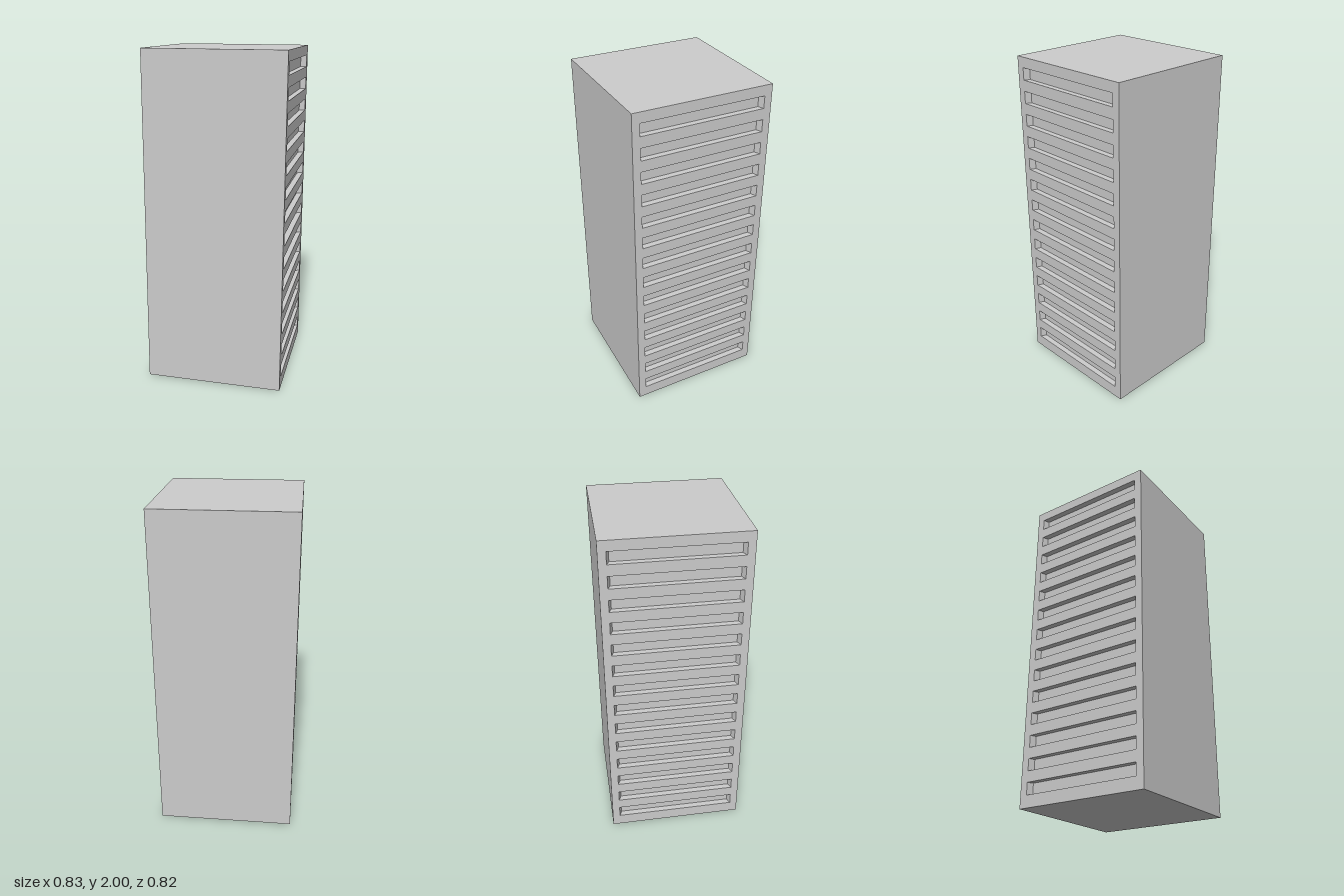
import * as THREE from 'three';

const W = 0.822, H = 1.996, D = 0.822;           // cabinet size
const SLOTS = 14, PITCH = 0.1377, SLOT_H = 0.072; // louvre slots on each side
const OUTER = 0.366, INNER = 0.351, DEPTH = 0.035;

// Flat-shaded geometry from quads, corners counter-clockwise
function quads(list) {
  const pos = list.flatMap(([a, b, c, d]) => [a, b, c, a, c, d].flat());
  const g = new THREE.BufferGeometry();
  g.setAttribute('position', new THREE.Float32BufferAttribute(pos, 3));
  g.computeVertexNormals();
  return g;
}

function rectangle(PathType, x, y0, y1) {
  return new PathType([[-x, y0], [x, y0], [x, y1], [-x, y1]].map(p => new THREE.Vector2(...p)));
}

// Recess with slanted ends, opening towards +z
function recessGeometry() {
  const h = SLOT_H / 2;
  const ring = (x, z) => [[-x, -h, z], [x, -h, z], [x, h, z], [-x, h, z]];
  const o = ring(OUTER, 0), i = ring(INNER, -DEPTH);
  return quads([i, ...o.map((_, k) => {
    const n = (k + 1) % 4;
    return [o[k], o[n], i[n], i[k]];
  })]);
}

export function createModel() {
  const model = new THREE.Group();
  model.name = 'cabinet';
  const material = new THREE.MeshStandardMaterial({ color: 0xcccccc, flatShading: true });

  // The whole cabinet leans very slightly to one side
  const body = new THREE.Group();
  body.name = 'body';
  body.position.y = 1;
  body.rotation.z = -0.005;
  model.add(body);

  const add = (parent, name, geometry) => {
    const mesh = new THREE.Mesh(geometry, material);
    mesh.name = name;
    parent.add(mesh);
    return mesh;
  };

  // Plain panels: front, back, top and bottom
  add(body, 'frontPanel', new THREE.PlaneGeometry(W, H)).position.z = D / 2;
  const back = add(body, 'backPanel', new THREE.PlaneGeometry(W, H));
  back.position.z = -D / 2;
  back.rotation.y = Math.PI;
  const top = add(body, 'topPanel', new THREE.PlaneGeometry(W, D));
  top.position.y = H / 2;
  top.rotation.x = -Math.PI / 2;
  const bottom = add(body, 'bottomPanel', new THREE.PlaneGeometry(W, D));
  bottom.position.y = -H / 2;
  bottom.rotation.x = Math.PI / 2;

  // Slotted side panels, built facing +z and turned to each side
  const centers = Array.from({ length: SLOTS }, (_, k) => 0.006 + (k - (SLOTS - 1) / 2) * PITCH);
  const outline = rectangle(THREE.Shape, D / 2, -H / 2, H / 2);
  outline.holes = centers.map(y => rectangle(THREE.Path, OUTER, y - SLOT_H / 2, y + SLOT_H / 2));
  const panel = new THREE.ShapeGeometry(outline);
  const recess = recessGeometry();

  for (const [name, side] of [['leftSide', 1], ['rightSide', -1]]) {
    const group = new THREE.Group();
    group.name = name;
    group.position.x = side * W / 2;
    group.rotation.y = side * Math.PI / 2;
    add(group, 'slottedPanel', panel);
    for (const y of centers) add(group, 'slotRecess', recess).position.y = y;
    body.add(group);
  }
  return model;
}
